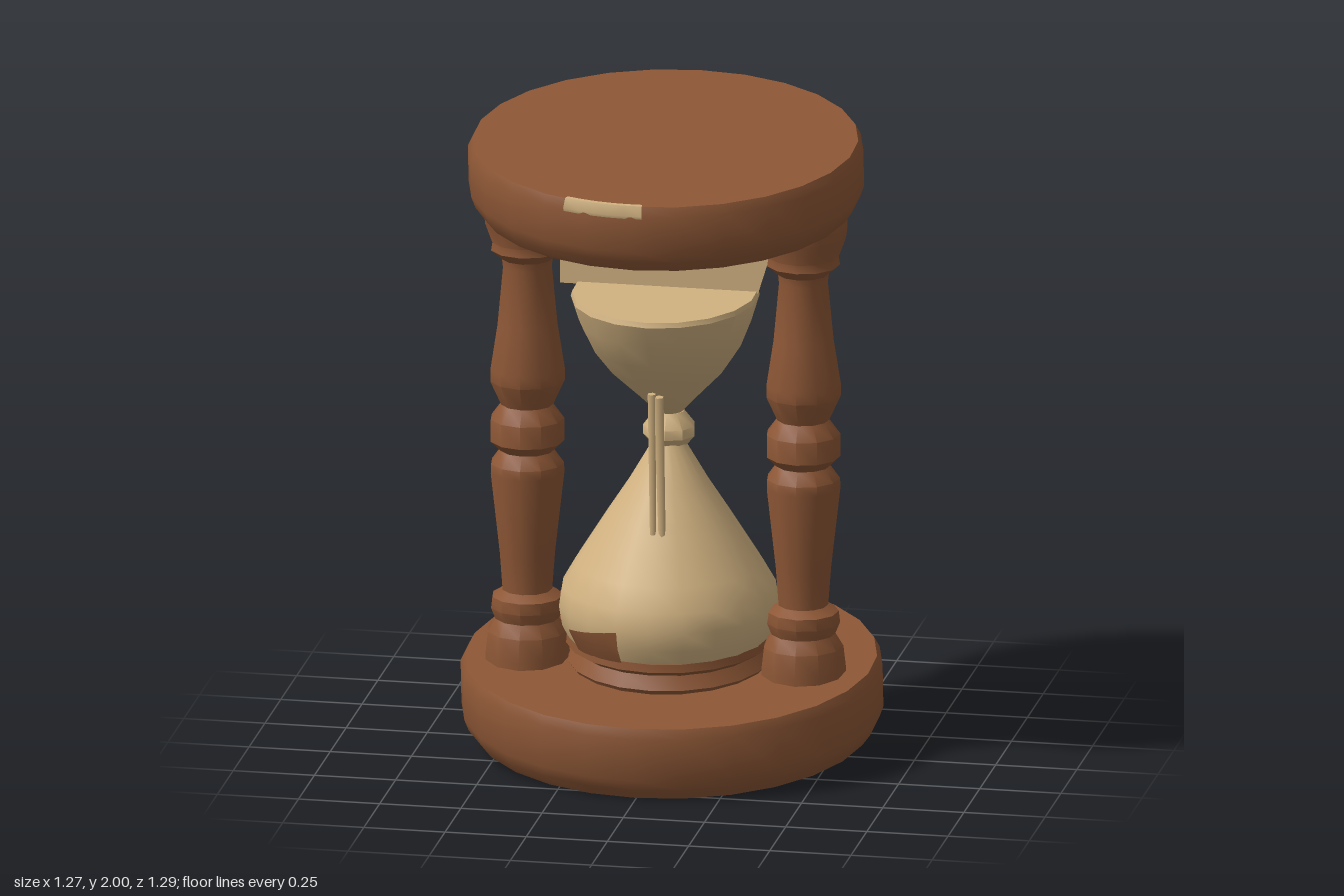
import * as THREE from 'three';
import { toCreasedNormals } from 'three/addons/utils/BufferGeometryUtils.js';

const wood = new THREE.MeshStandardMaterial({ color: 0x8c5635 });
wood.name = 'wood';
const sand = new THREE.MeshStandardMaterial({ color: 0xd0b180, side: THREE.DoubleSide });
sand.name = 'sand';

// Turned part from [radius, y] pairs, bottom to top, with an optional sector
function turned(name, profile, segments, material, warp, start = 0, sweep = Math.PI * 2) {
  const points = profile.map(([r, y]) => new THREE.Vector2(r, y));
  const geometry = new THREE.LatheGeometry(points, segments, start, sweep);
  if (warp) {
    const pos = geometry.attributes.position;
    for (let i = 0; i < pos.count; i++) {
      const [x, y, z] = warp(pos.getX(i), pos.getY(i), pos.getZ(i));
      pos.setXYZ(i, x, y, z);
    }
  }
  const mesh = new THREE.Mesh(toCreasedNormals(geometry, 0.65), material);
  mesh.name = name;
  return mesh;
}

// Bevelled round plate, tilted down toward the front
function plate(name, rx, rz, height, y, z, tilt) {
  const h = height / 2;
  const mesh = turned(name, [
    [0, -h], [0.94, -h], [0.98, -h + 0.035], [1, -h + 0.07],
    [1, h - 0.03], [0.975, h], [0, h],
  ], 26, wood, (a, b, c) => [a * rx, b, c * rz]);
  mesh.position.set(0, y, z);
  mesh.rotation.x = tilt;
  return mesh;
}

// Thin tapered strand between two points
function strand(a, b, rTop, rBottom) {
  const dir = a.clone().sub(b);
  const mesh = new THREE.Mesh(new THREE.CylinderGeometry(rTop, rBottom, dir.length(), 6), sand);
  mesh.position.copy(a).add(b).multiplyScalar(0.5);
  mesh.quaternion.setFromUnitVectors(new THREE.Vector3(0, 1, 0), dir.normalize());
  mesh.name = 'sandStrand';
  return mesh;
}

export function createModel() {
  const model = new THREE.Group();
  model.name = 'hourglass';

  // Plates
  const topPlate = plate('topPlate', 0.6, 0.57, 0.215, 1.845, 0.075, 0.09);
  model.add(topPlate);
  model.add(plate('basePlate', 0.64, 0.615, 0.235, 0.18, -0.02, 0.1));

  // Worn patch on the front bevel of the top plate
  const chip = turned('chip', [[0.992, 0.072], [0.996, 0.082], [0.974, 0.111], [0.95, 0.111]], 5, sand,
    (x, y, z) => [x * 0.603, y, z * 0.573], -0.36, 0.42);
  topPlate.add(chip);

  // Turned posts
  const postProfile = [
    [0, 0.24], [0.13, 0.24], [0.13, 0.3], [0.122, 0.37], [0.098, 0.41], [0.112, 0.445], [0.108, 0.48],
    [0.076, 0.5], [0.085, 0.62], [0.113, 0.87], [0.112, 0.9], [0.083, 0.94], [0.113, 0.97],
    [0.113, 1.04], [0.08, 1.085], [0.114, 1.16], [0.114, 1.2], [0.092, 1.34], [0.075, 1.52],
    [0.078, 1.545], [0.112, 1.575], [0.108, 1.6], [0.13, 1.66], [0.135, 1.7], [0.135, 1.79], [0, 1.79],
  ];
  for (const [name, x] of [['leftPost', 0.42], ['rightPost', -0.43]]) {
    const post = turned(name, postProfile, 11, wood);
    post.position.set(x, 0, 0.065);
    model.add(post);
  }

  // Ring under the lower bulb
  const ring = turned('bulbRing', [
    [0, -0.09], [0.29, -0.09], [0.3, -0.05], [0.31, -0.035], [0.285, 0.005], [0.315, 0.025], [0.31, 0.05], [0, 0.05],
  ], 20, wood);
  ring.position.set(0, 0.335, 0.02);
  ring.rotation.x = 0.07;
  model.add(ring);

  // Lower bulb
  const bulbRadii = [
    [0.3, 0.36], [0.325, 0.41], [0.335, 0.47], [0.325, 0.53], [0.285, 0.6], [0.235, 0.68],
    [0.185, 0.76], [0.12, 0.86], [0.05, 0.98],
  ];
  const lowerBulb = turned('lowerBulb', [[0, 0.36], ...bulbRadii, [0, 0.99]], 20, sand);
  lowerBulb.position.z = 0.03;
  model.add(lowerBulb);

  // Worn patch low on the front of the bulb
  const patch = turned('bulbPatch', [[0.304, 0.36], [0.329, 0.41], [0.338, 0.45]], 5, wood,
    (x, y, z) => [x, y + (y > 0.43 ? (x + 0.17) * 0.2 : 0), z], -0.92, 0.62);
  patch.position.z = 0.03;
  model.add(patch);

  // Neck bead
  const neck = turned('neckBead', [
    [0, 0.96], [0.05, 0.965], [0.08, 1.0], [0.08, 1.03], [0.045, 1.075], [0, 1.08],
  ], 9, sand);
  neck.position.z = 0.02;
  model.add(neck);

  // Upper bulb, leaning forward with a gently sloping lid
  model.add(turned('upperBulb', [
    [0, 1.06], [0.035, 1.07], [0.09, 1.13], [0.175, 1.22], [0.225, 1.295], [0.26, 1.38], [0.285, 1.46],
    [0.28, 1.475], [0, 1.475],
  ], 18, sand, (x, y, z) => [
    x, y - (y > 1.4 ? z * 0.05 : 0), z * 1.08 + 0.02 + Math.min(0.07, Math.max(0, y - 1.08) * 0.24),
  ]));

  // Flat pane between the upper bulb and the top plate
  const outline = [[-0.33, 1.47], [0.28, 1.47], [0.32, 1.6], [0.33, 1.77], [-0.33, 1.77]];
  const pane = new THREE.Mesh(
    new THREE.ShapeGeometry(new THREE.Shape(outline.map(([x, y]) => new THREE.Vector2(x, y)))), sand);
  pane.name = 'upperPane';
  pane.position.z = 0.06;
  model.add(pane);

  // Sand strands in front of the neck
  const strands = new THREE.Group();
  strands.name = 'sandStrands';
  strands.add(strand(new THREE.Vector3(-0.012, 1.19, 0.24), new THREE.Vector3(-0.012, 0.74, 0.22), 0.013, 0.01));
  strands.add(strand(new THREE.Vector3(0.008, 1.18, 0.235), new THREE.Vector3(0.016, 0.69, 0.215), 0.016, 0.011));
  model.add(strands);

  return model;
}
